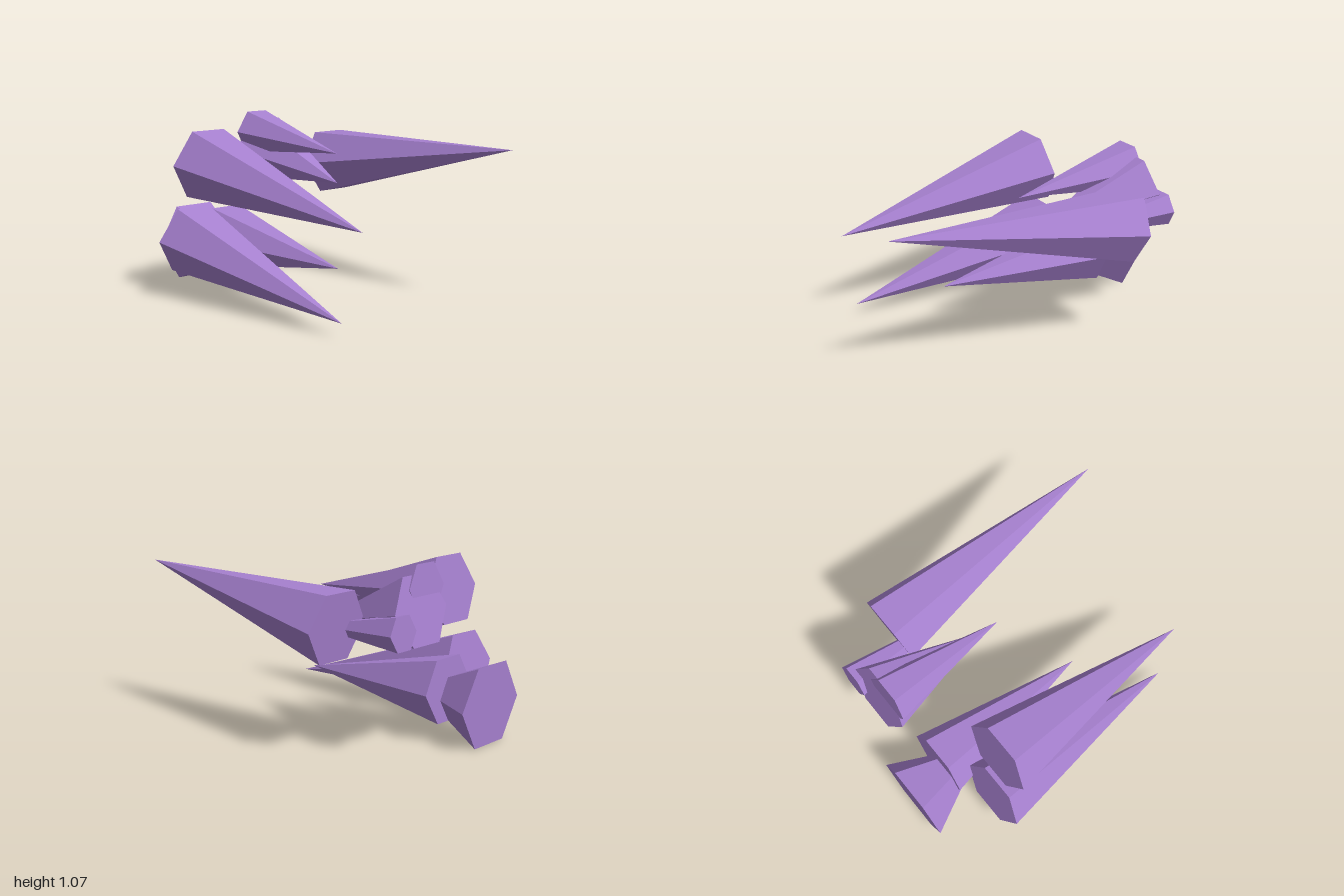
import * as THREE from 'three';

const crystalMaterial = new THREE.MeshStandardMaterial({ color: 0xa680cf, flatShading: true });
crystalMaterial.name = 'amethystPurple';

// Six-sided spike: centre of its base, base radius, and the height and depth of its tip
function makeSpike({ name, base, radius, tipY, tipZ }) {
  const dy = tipY - base[1];
  const dz = tipZ - base[2];
  const length = Math.hypot(dy, dz);
  const geometry = new THREE.ConeGeometry(radius, length, 6, 1, false, Math.PI / 6);
  geometry.rotateX(Math.PI / 2); // tip towards +z, corners on the x axis
  geometry.translate(0, 0, length / 2);
  const spike = new THREE.Mesh(geometry, crystalMaterial);
  spike.name = name;
  spike.position.set(...base);
  spike.rotation.x = -Math.atan2(dy, dz);
  return spike;
}

const SPIKES = [
  // right-hand pair
  { name: 'upperRightSpike', base: [-0.48, 0.813, -0.53], radius: 0.234, tipY: 0.583, tipZ: 0.835 },
  { name: 'lowerRightSpike', base: [-0.538, 0.347, -0.62], radius: 0.228, tipY: 0.085, tipZ: 0.74 },
  // low centre spike with a short, wide one behind it
  { name: 'lowerCentreSpike', base: [-0.17, 0.295, -0.748], radius: 0.215, tipY: 0.253, tipZ: 0.315 },
  { name: 'rearStubSpike', base: [-0.235, 0.236, -0.995], radius: 0.27, tipY: 0.248, tipZ: -0.46 },
  // upper left cluster
  { name: 'upperLeftSpike', base: [0.54, 0.738, -0.525], radius: 0.224, tipY: 0.945, tipZ: 0.995 },
  { name: 'smallTopSpike', base: [0.14, 0.942, -0.815], radius: 0.15, tipY: 0.863, tipZ: -0.03 },
  { name: 'innerLeftSpike', base: [0.212, 0.828, -0.835], radius: 0.222, tipY: 0.665, tipZ: -0.1 },
  { name: 'smallRearSpike', base: [0.417, 0.737, -0.88], radius: 0.109, tipY: 0.69, tipZ: -0.19 },
];

export function createModel() {
  const model = new THREE.Group();
  model.name = 'crystalSpikes';
  for (const spike of SPIKES) model.add(makeSpike(spike));
  return model;
}
